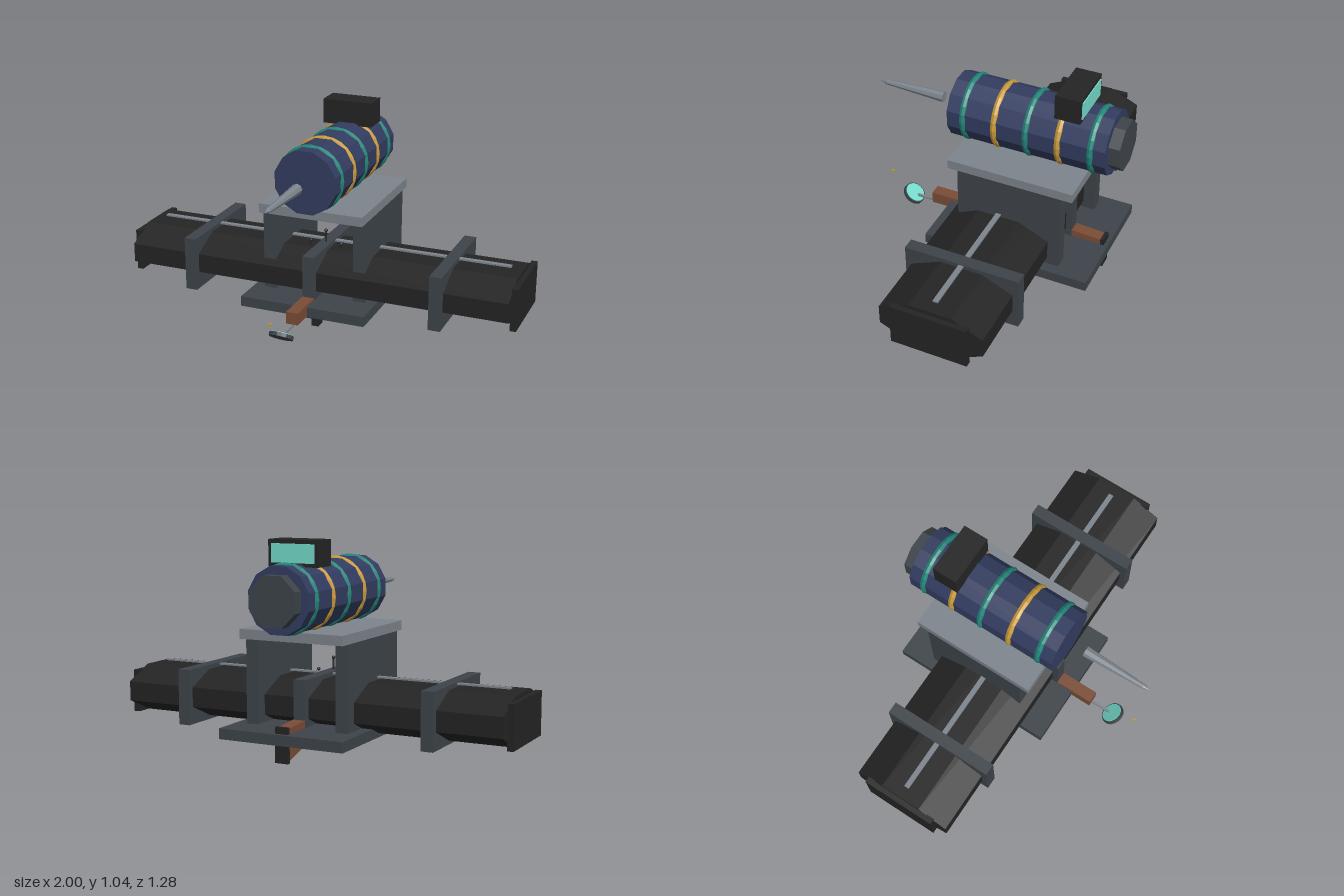
import * as THREE from 'three';

const mat = (name, color, extra = {}) => {
  const m = new THREE.MeshStandardMaterial({ color, flatShading: true, ...extra });
  m.name = name;
  return m;
};

export function createModel() {
  const black = mat('black', 0x242424);
  const gunmetal = mat('gunmetal', 0x3e444a);
  const steel = mat('steel', 0x7d848c);
  const navy = mat('navy', 0x323c60);
  const teal = mat('teal', 0x228578);
  const gold = mat('gold', 0xc89a3a);
  const glass = mat('pale glass', 0x74dccb);
  const wood = mat('brown wood', 0x7a4c36);

  const root = new THREE.Group();
  root.name = 'mountedDevice';
  const add = (name, geometry, material) => {
    const mesh = new THREE.Mesh(geometry, material);
    mesh.name = name;
    root.add(mesh);
    return mesh;
  };
  // Box given by its limits on each axis
  const box = (name, m, x0, x1, y0, y1, z0, z1) =>
    add(name, new THREE.BoxGeometry(x1 - x0, y1 - y0, z1 - z0), m)
      .position.set((x0 + x1) / 2, (y0 + y1) / 2, (z0 + z1) / 2);
  // Faceted cylinder along z with flat sides on the axes; r is the apothem
  const drumGeo = (r, z0, z1, n) => {
    const g = new THREE.CylinderGeometry(r / Math.cos(Math.PI / n), r / Math.cos(Math.PI / n), z1 - z0, n);
    g.rotateY(Math.PI / n);
    g.rotateX(Math.PI / 2);
    return g.translate(0, 0.778, (z0 + z1) / 2);
  };

  // Barrel, rear cap and hoops
  add('barrel', drumGeo(0.153, -0.59, 0.2, 12), navy);
  add('rearCap', drumGeo(0.115, -0.645, -0.59, 8), gunmetal);
  for (let i = 0; i < 5; i++) {
    const hoop = add('hoop', new THREE.TorusGeometry(0.147, 0.018, 8, 24), i % 2 ? gold : teal);
    hoop.position.set(0, 0.778, 0.12 - i * 0.159);
  }

  // Pointed needle ahead of the barrel
  const needle = [[0, 0], [0.027, 0], [0.013, 0.31], [0, 0.35]].map(p => new THREE.Vector2(...p));
  const needleMesh = add('needle', new THREE.LatheGeometry(needle, 8), steel);
  needleMesh.rotation.x = Math.PI / 2;
  needleMesh.position.set(0, 0.778, 0.29);

  // Display on top, facing the rear
  box('displayHousing', black, -0.127, 0.127, 0.918, 1.04, -0.455, -0.33);
  box('displayScreen', glass, -0.11, 0.11, 0.935, 1.022, -0.46, -0.454);

  // Platform, its two walls and the base plate
  box('platform', steel, -0.265, 0.265, 0.58, 0.626, -0.485, 0.145);
  for (const s of [-1, 1])
    box('platformWall', gunmetal, s * 0.233 - 0.031, s * 0.233 + 0.031, 0.125, 0.605, -0.43, 0.095);
  box('basePlate', gunmetal, -0.318, 0.318, 0.125, 0.175, -0.59, 0.252);

  // Wide octagonal cross beam with end caps and clamps
  const beamGeo = new THREE.CylinderGeometry(1, 1, 1.95, 8);
  beamGeo.rotateY(Math.PI / 8);
  beamGeo.rotateZ(Math.PI / 2);
  const k = Math.cos(Math.PI / 8);
  beamGeo.scale(1, 0.115 / k, 0.254 / k);
  add('crossBeam', beamGeo, black).position.set(0, 0.26, -0.117);
  for (const s of [-1, 1])
    box('beamEndCap', black, s * 0.985 - 0.015, s * 0.985 + 0.015, 0.145, 0.355, -0.305, 0.071);
  for (const x of [-0.635, 0, 0.635])
    box('beamClamp', gunmetal, x - 0.03, x + 0.03, 0.126, 0.396, -0.401, 0.167);
  box('topRail', steel, -0.92, 0.92, 0.384, 0.392, -0.13, -0.105);

  // Small sight pins between the walls
  for (const x of [-0.08, 0, 0.08]) {
    const top = x ? 0.393 : 0.455;
    const pin = add('sightPin', new THREE.CylinderGeometry(0.004, 0.004, top - 0.365, 6), black);
    pin.position.set(x, (top + 0.365) / 2, -0.06);
    add('sightBead', new THREE.SphereGeometry(0.009, 8, 6), black).position.set(x, top, -0.06);
  }

  // Front handguard, rod and tilted dish
  box('handguard', wood, -0.03, 0.03, 0.128, 0.188, 0.165, 0.36);
  box('frontRod', steel, -0.006, 0.006, 0.115, 0.125, 0, 0.46);
  const dish = new THREE.Group();
  dish.name = 'dish';
  dish.position.set(0, 0.122, 0.482);
  dish.rotation.x = -0.63;
  const rim = new THREE.Mesh(new THREE.CylinderGeometry(0.058, 0.058, 0.018, 16), gunmetal);
  rim.name = 'dishRim';
  const face = new THREE.Mesh(new THREE.CylinderGeometry(0.052, 0.052, 0.004, 16), glass);
  face.name = 'dishFace';
  face.position.y = 0.01;
  dish.add(rim, face);
  root.add(dish);
  add('floatingBead', new THREE.BoxGeometry(0.011, 0.011, 0.011), gold).position.set(0, 0.23, 0.6);

  // Fittings under the base plate
  box('frontLug', black, -0.02, 0.02, 0.07, 0.126, 0.11, 0.148);
  box('grip', black, -0.018, 0.018, 0, 0.126, 0.032, 0.083);
  box('blueLatch', navy, -0.02, 0.02, 0.105, 0.126, -0.015, 0.032);
  box('underBox', black, -0.13, 0.13, 0.065, 0.126, -0.213, -0.02);
  box('underBoxPad', wood, -0.035, 0.035, 0.05, 0.066, -0.148, -0.078);
  box('rearLug', steel, -0.02, 0.02, 0.098, 0.126, -0.23, -0.212);
  box('goldCatch', gold, -0.012, 0.012, 0.11, 0.126, -0.255, -0.24);

  // Tapered stock and butt plate, profile drawn as (z, y)
  const profile = new THREE.Shape([[-0.28, 0.13], [-0.56, 0.047], [-0.56, 0.2], [-0.41, 0.21], [-0.28, 0.19]]
    .map(p => new THREE.Vector2(...p)));
  const stockGeo = new THREE.ExtrudeGeometry(profile, { depth: 0.06, bevelEnabled: false });
  stockGeo.translate(0, 0, -0.03);
  stockGeo.rotateY(-Math.PI / 2);
  add('stock', stockGeo, wood);
  box('buttPlate', black, -0.033, 0.033, 0.04, 0.206, -0.57, -0.552);

  return root;
}
